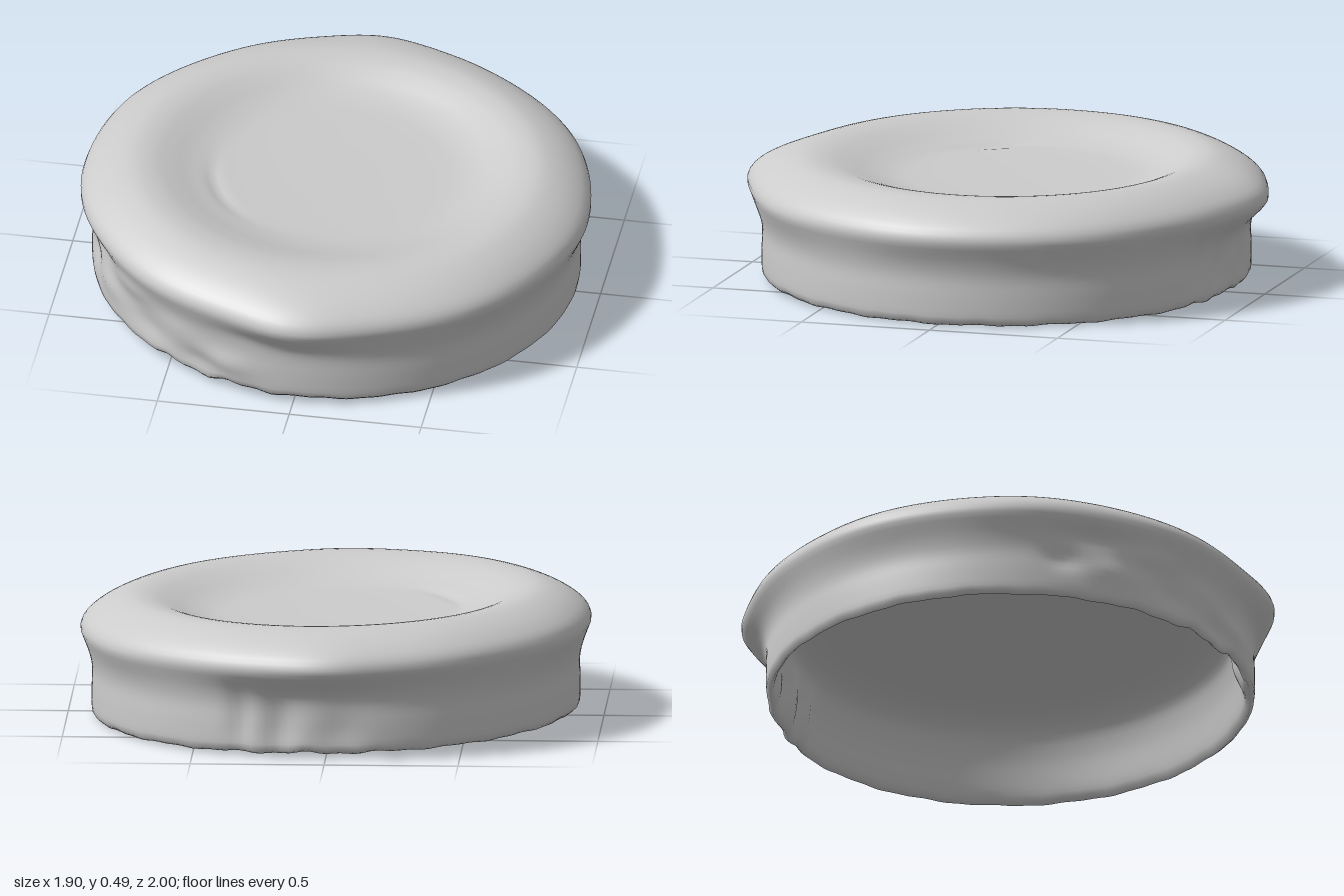
import * as THREE from 'three';
import { mergeVertices } from 'three/addons/utils/BufferGeometryUtils.js';

// Closed half-section: inner ceiling -> inner wall -> lower edge -> outer wall -> lip -> dished top
const PROFILE = [
  [0, 0.335], [0.4, 0.338], [0.6, 0.345], [0.72, 0.338], [0.81, 0.29], [0.85, 0.2], [0.875, 0.06],
  [0.893, 0.024], [0.91, 0.04], [0.912, 0.12], [0.91, 0.2], [0.922, 0.26], [0.945, 0.32],
  [0.953, 0.352], [0.93, 0.395], [0.86, 0.443], [0.77, 0.474], [0.69, 0.471], [0.62, 0.45],
  [0.55, 0.424], [0.48, 0.406], [0.4, 0.398], [0.2, 0.393], [0, 0.392],
];

// Marks pressed into (-) or raised on (+) the skirt: angle, height, angular width, height width, depth
const MARKS = [
  [-1.1, 0.28, 0.16, 0.05, -0.02], [-1.22, 0.17, 0.07, 0.04, -0.016], [-1.0, 0.15, 0.1, 0.05, 0.012],
  [-0.82, 0.24, 0.13, 0.04, 0.012], [-0.7, 0.12, 0.1, 0.05, -0.014], [-0.52, 0.19, 0.12, 0.05, 0.01],
  [-0.42, 0.08, 0.09, 0.04, -0.016], [-0.28, 0.12, 0.1, 0.04, 0.012], [-0.2, 0.27, 0.16, 0.04, -0.008],
  [2.78, 0.14, 0.05, 0.12, -0.022], [2.95, 0.12, 0.07, 0.12, -0.03], [3.2, 0.1, 0.09, 0.08, -0.014],
];

// Bell curve around an angle, wrapping at the seam
const bell = (a, centre, width) => {
  const d = Math.atan2(Math.sin(a - centre), Math.cos(a - centre)) / width;
  return Math.exp(-d * d);
};
const hump = (v, centre, width) => Math.exp(-(((v - centre) / width) ** 2));

function deform(geometry) {
  const p = geometry.attributes.position;
  const { smoothstep } = THREE.MathUtils;
  for (let i = 0; i < p.count; i++) {
    let x = p.getX(i), y = p.getY(i), z = p.getZ(i);
    const a = Math.atan2(x, z); // 0 at the front
    let r = Math.hypot(x, z);
    const inside = r < 0.885 && y < 0.32;

    // Lip drawn out to a small soft point at front and back
    const lip = smoothstep(r, 0.7, 0.94) * smoothstep(y, 0.22, 0.35);
    const points = [0, Math.PI].reduce((s, c) => s + 0.034 * bell(a, c, 0.2) + 0.013 * bell(a, c, 0.5), 0);
    const skirt = smoothstep(r, 0.7, 0.86) * (1 - smoothstep(y, 0.26, 0.34));
    r += lip * (points + 0.003 * Math.sin(9 * a + 1));

    // Dents and lumps in the skirt, front bulge, flattened back
    const marks = MARKS.reduce((s, [c, h, w, t, d]) => s + d * bell(a, c, w) * hump(y, h, t), 0);
    r += skirt * (marks + 0.013 * bell(a, 0, 0.5) - 0.01 * bell(a, Math.PI, 0.4));

    // Folded ridge on the inner front wall
    if (inside) r -= skirt * 0.035 * bell(a, 0.07, 0.07) * hump(y, 0.14, 0.09);

    // Ragged lower edge, worst at the front left
    const edge = skirt * (1 - smoothstep(y, 0.02, 0.1));
    const ragged = 0.002 + 0.006 * bell(a, -0.4, 0.35) + 0.003 * bell(a, 3.1, 0.3);
    y += edge * ragged * (Math.sin(19 * a) + 0.7 * Math.sin(43 * a + 2));

    // Short crease at the foot of the dish
    if (y > 0.38) y -= 0.01 * bell(a, -1.1, 0.4) * hump(r, 0.47, 0.022);

    // Dish sits slightly back of centre; the whole piece leans towards +x
    x = r * Math.sin(a);
    z = r * Math.cos(a) - 0.04 * (1 - smoothstep(r, 0.45, 0.8));
    p.setXYZ(i, x, y - 0.021 * x, z);
  }
}

export function createModel() {
  const group = new THREE.Group();
  group.name = 'shallowLid';

  const curve = new THREE.SplineCurve(PROFILE.map(([r, y]) => new THREE.Vector2(r, y)));
  const section = curve.getSpacedPoints(120);
  section[0].x = section[section.length - 1].x = 0;

  // Weld the lathe seam so the smooth normals run all the way round
  let shell = new THREE.LatheGeometry(section, 200);
  shell.deleteAttribute('uv');
  shell.deleteAttribute('normal');
  shell = mergeVertices(shell, 1e-5);
  deform(shell);
  shell.computeVertexNormals();

  // Stand on the ground
  shell.computeBoundingBox();
  shell.translate(0, -shell.boundingBox.min.y, 0);

  const mesh = new THREE.Mesh(shell, new THREE.MeshStandardMaterial({ color: 0xcccccc }));
  mesh.name = 'lidShell';
  group.add(mesh);
  return group;
}
